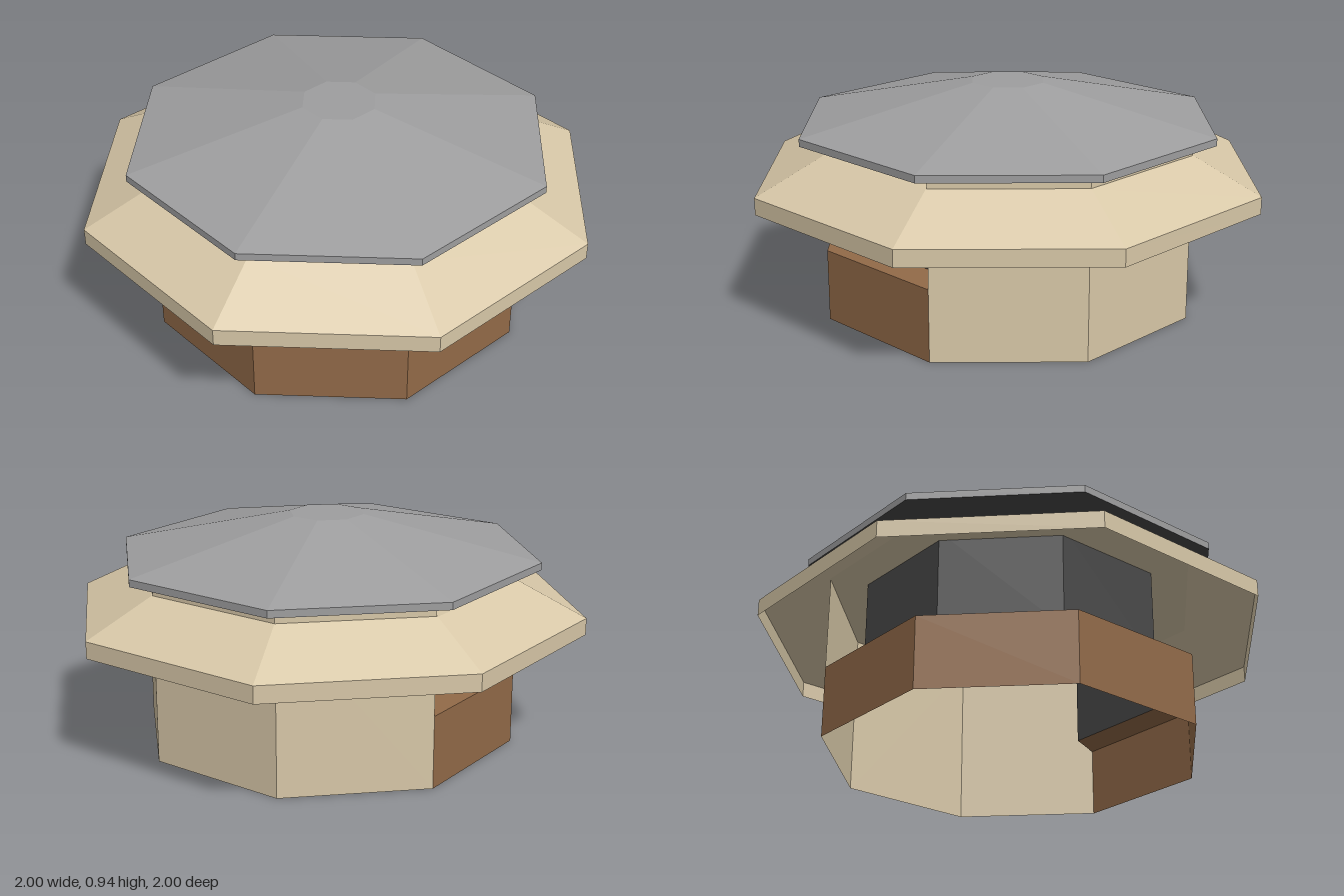
import * as THREE from 'three';

const STEP = Math.PI / 4;
const mat = (name, color) => new THREE.MeshStandardMaterial({
  name, color, flatShading: true, side: THREE.DoubleSide,
});

// Sweeps a [apothem, y] profile around an octagon with flats on the axes.
// Faces are counted from +z towards +x.
function octagon(name, material, profile, firstFace = 0, faces = 8) {
  const points = profile.map(([a, y]) => new THREE.Vector2(a / Math.cos(STEP / 2), y));
  const geometry = new THREE.LatheGeometry(points, faces, (firstFace - 0.5) * STEP, faces * STEP);
  const mesh = new THREE.Mesh(geometry, material);
  mesh.name = name;
  return mesh;
}

export function createModel() {
  const plaster = mat('beige plaster', 0xd8c8a8);
  const wood = mat('brown wood', 0x926a48);
  const dark = mat('dark panel', 0x484848);
  const slate = mat('grey roofing', 0x9e9e9f);

  const kiosk = new THREE.Group();
  kiosk.name = 'kiosk';
  kiosk.add(
    // Solid wall on three sides
    octagon('wall', plaster, [[0.735, 0], [0.735, 0.74]], 1, 3),
    // Counter front and top on the other five sides
    octagon('counter', wood, [[0.735, 0], [0.735, 0.3], [0.59, 0.3]], 4, 5),
    // Recessed panels above the counter
    octagon('innerPanels', dark, [[0.59, 0.3], [0.59, 0.74]], 4, 5),
    // Hollow eave: fascia, slope and flat inner ring
    octagon('eave', plaster, [[1, 0.49], [1, 0.56], [0.74, 0.7], [0.59, 0.7]]),
    // Upper roof with its dark underside
    octagon('roofUnderside', dark, [[0, 0.735], [0.74, 0.735], [0.825, 0.75]]),
    octagon('roof', slate, [[0.825, 0.75], [0.825, 0.78], [0.145, 0.94], [0, 0.94]]),
  );
  return kiosk;
}
